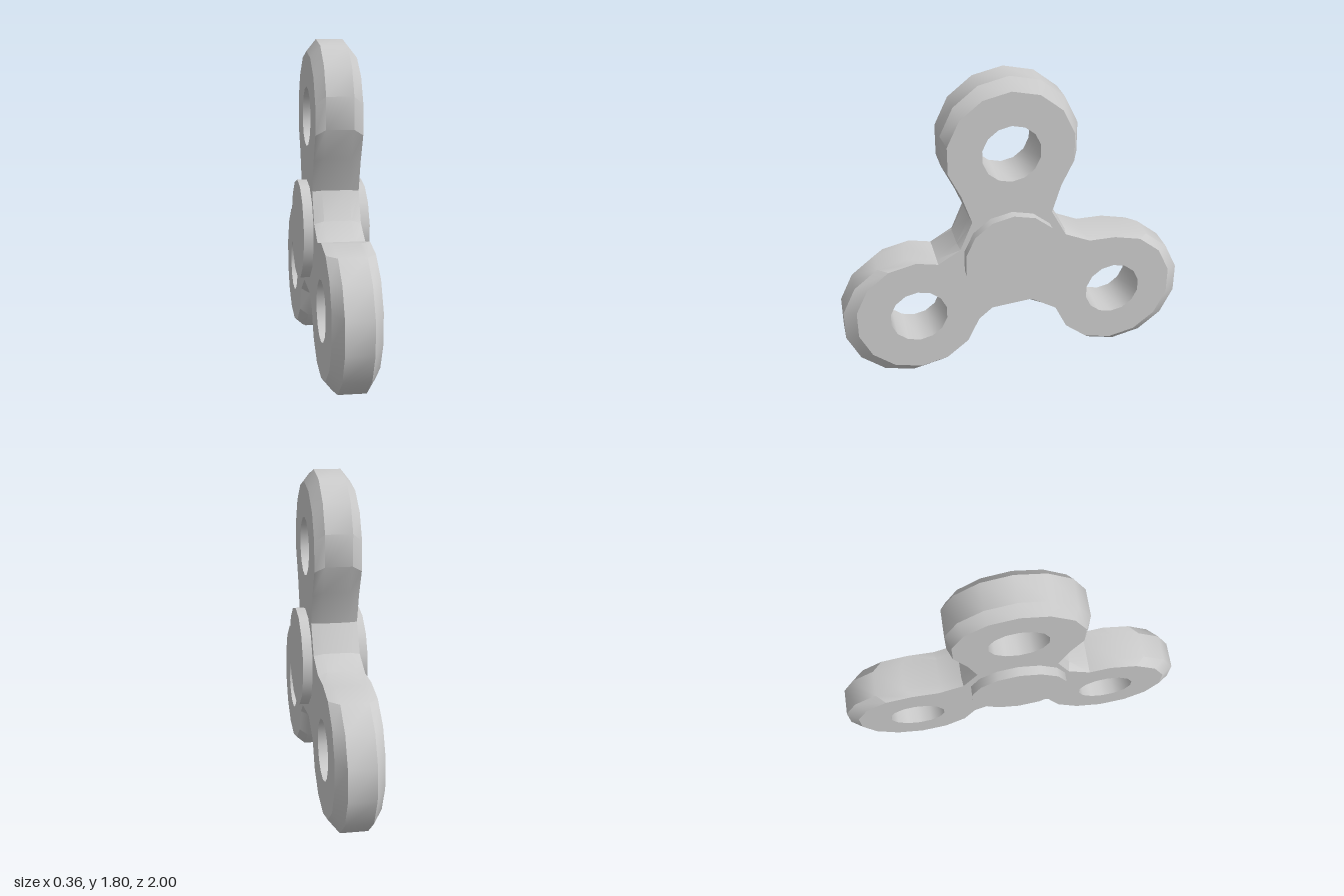
import * as THREE from 'three';
import { mergeGeometries, toCreasedNormals } from 'three/addons/utils/BufferGeometryUtils.js';

const SIDES = 14;
const FACE = 0.127, BAND = 0.074; // half thickness at the flat faces and at the rim

// Points of a regular polygon arc, clockwise from the top
function arc(cx, cy, r, from, to) {
  const pts = [];
  for (let k = from; k <= to; k++) {
    const a = (k * 2 * Math.PI) / SIDES;
    pts.push(new THREE.Vector2(cx + r * Math.sin(a), cy + r * Math.cos(a)));
  }
  return pts;
}

const points = (list) => list.map(([x, y]) => new THREE.Vector2(x, y));

// Clockwise three-lobed outline: lobe arcs joined by neck points
function outline(r, top, right, left, rightNeck, bottomNeck, leftNeck) {
  return [
    ...arc(...top, r, -5, 5), ...points(rightNeck),
    ...arc(...right, r, 0, 10), ...points(bottomNeck),
    ...arc(...left, r, 4, 14), ...points(leftNeck),
  ];
}

// Wall through rings [points, depth], running from back to front
function loft(rings) {
  const n = rings[0][0].length, pos = [], index = [];
  for (const [pts, z] of rings) for (const p of pts) pos.push(p.x, p.y, z);
  for (let j = 0; j < rings.length - 1; j++) {
    for (let i = 0; i < n; i++) {
      const a0 = j * n + i, a1 = j * n + ((i + 1) % n);
      index.push(a0, a0 + n, a1 + n, a0, a1 + n, a1);
    }
  }
  const g = new THREE.BufferGeometry();
  g.setAttribute('position', new THREE.Float32BufferAttribute(pos, 3));
  g.setIndex(index);
  return g;
}

// Flat face with holes at depth z, turned backwards if z is negative
function face(pts, holes, z) {
  const shape = new THREE.Shape(pts);
  shape.holes = holes.map((h) => new THREE.Path(h));
  const g = new THREE.ShapeGeometry(shape);
  g.deleteAttribute('uv');
  g.deleteAttribute('normal');
  g.translate(0, 0, z);
  if (z < 0) g.setIndex(Array.from(g.index.array).reverse());
  return g;
}

export function createModel() {
  const group = new THREE.Group();
  group.name = 'spinner';
  const material = new THREE.MeshStandardMaterial({ color: 0xcccccc });

  const add = (name, geometry) => {
    geometry.rotateY(Math.PI / 2); // drawn in XY, stands in the ZY plane
    geometry.translate(0, -0.009, 0);
    const mesh = new THREE.Mesh(geometry, material);
    mesh.name = name;
    group.add(mesh);
  };

  // Rim outline and the smaller outline of the flat faces
  const rim = outline(0.386, [-0.035, 1.428], [0.623, 0.396], [-0.623, 0.396],
    [[0.206, 1.005], [0.286, 0.856], [0.414, 0.791]],
    [[0.083, 0.396], [-0.163, 0.374]],
    [[-0.457, 0.759], [-0.34, 0.85], [-0.265, 1.005]]);
  const centres = [[-0.035, 1.39], [0.58, 0.423], [-0.58, 0.425]];
  const flat = outline(0.358, ...centres,
    [[0.195, 1.005], [0.28, 0.845], [0.425, 0.781]],
    [[0.083, 0.433], [-0.152, 0.412]],
    [[-0.457, 0.757], [-0.329, 0.834], [-0.259, 1.0]]);
  const holes = centres.map(([x, y]) => arc(x, y, 0.165, 0, SIDES - 1).reverse());

  // Body: bevelled rim, two faces and the hole walls
  const body = mergeGeometries([
    loft([[flat, -FACE], [rim, -BAND], [rim, BAND], [flat, FACE]]),
    face(flat, holes, FACE),
    face(flat, holes, -FACE),
    ...holes.map((h) => loft([[h, -FACE], [h, FACE]])),
  ]);
  add('body', toCreasedNormals(body, 0.5));

  // Hub: round grips on both sides, joined through the middle
  const hub = new THREE.CylinderGeometry(0.28, 0.28, 0.36, SIDES);
  hub.rotateX(Math.PI / 2);
  hub.translate(-0.035, 0.757, 0);
  add('hub', hub);

  return group;
}
